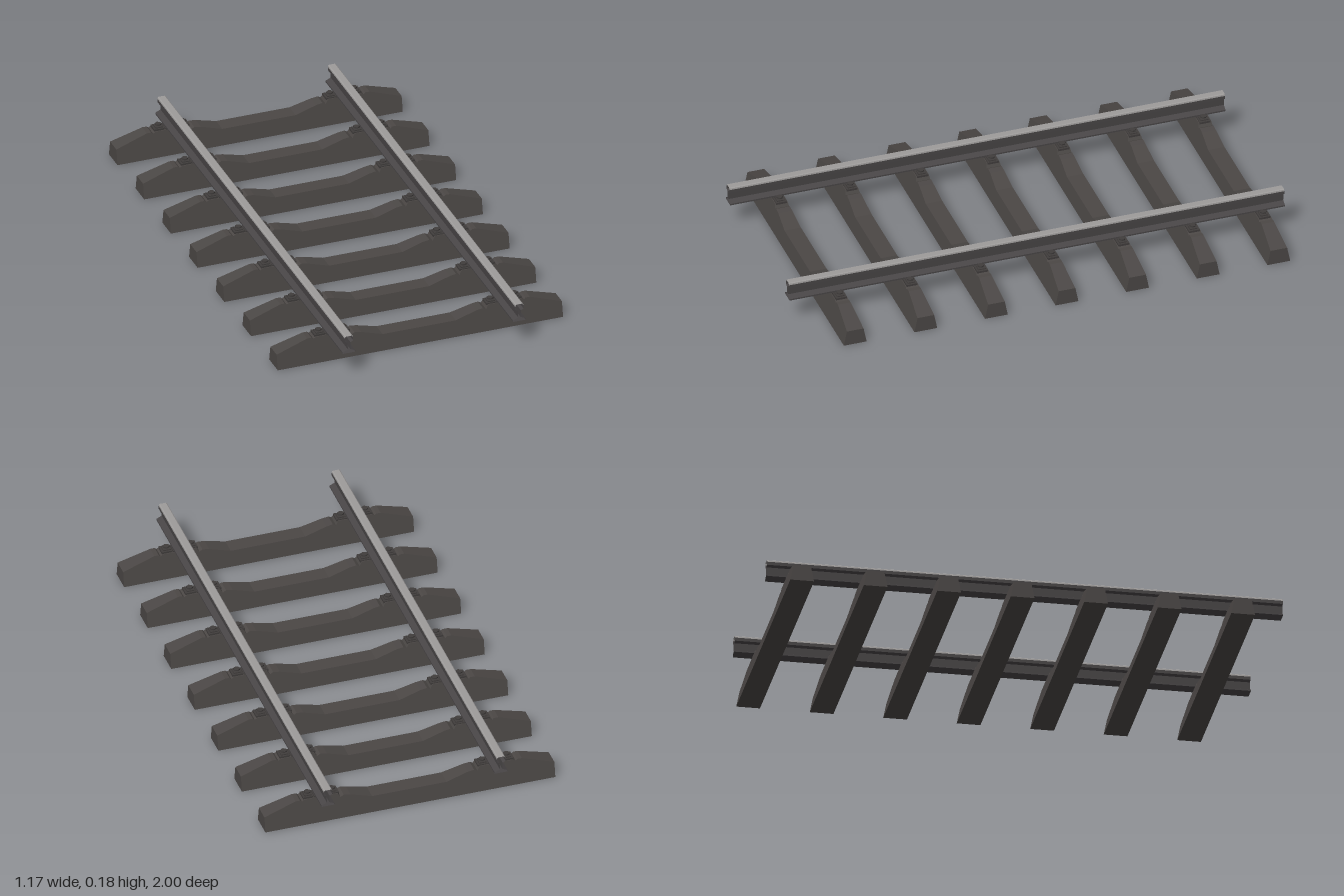
import * as THREE from 'three';

const mat = (name, color) => {
  const m = new THREE.MeshStandardMaterial({ color });
  m.name = name;
  return m;
};

// Mirrors a right-hand half profile to a full one, counter-clockwise
const mirrored = (half) => [...half, ...half.map(([x, y]) => [-x, y]).reverse()];

// Sweeps an uncapped profile along z with flat facets
function sweep(points, z0, z1) {
  const pos = [];
  for (let i = 0; i < points.length - 1; i++) {
    const [ax, ay] = points[i];
    const [bx, by] = points[i + 1];
    pos.push(ax, ay, z0, bx, by, z0, bx, by, z1);
    pos.push(ax, ay, z0, bx, by, z1, ax, ay, z1);
  }
  const g = new THREE.BufferGeometry();
  g.setAttribute('position', new THREE.Float32BufferAttribute(pos, 3));
  g.computeVertexNormals();
  return g;
}

// Concrete sleeper: long profile whose thickness tapers towards the top
function sleeperGeometry() {
  const half = [
    [0.583, 0], [0.583, 0.062], [0.455, 0.103], [0.437, 0.103], [0.43, 0.097],
    [0.42, 0.103], [0.285, 0.103], [0.275, 0.086], [0.262, 0.093], [0.235, 0.089], [0.15, 0.065],
  ];
  const shape = new THREE.Shape(mirrored(half).map(([x, y]) => new THREE.Vector2(x, y)));
  const g = new THREE.ExtrudeGeometry(shape, { depth: 1, bevelEnabled: false });
  const p = g.attributes.position;
  for (let i = 0; i < p.count; i++) {
    const w = 0.046 - 0.2 * p.getY(i);
    p.setZ(i, p.getZ(i) > 0.5 ? w : -w);
  }
  g.computeVertexNormals();
  return g;
}

export function createModel() {
  const concrete = mat('sleeper concrete', 0x4b4745);
  const steel = mat('dark rail steel', 0x484546);
  const polished = mat('polished rail head', 0x9d9b9a);
  const iron = mat('fastening iron', 0x403d3c);
  steel.side = polished.side = THREE.DoubleSide;

  const track = new THREE.Group();
  track.name = 'railwayTrack';
  const railX = 0.348;

  const add = (parent, name, geometry, material, x = 0, y = 0, z = 0) => {
    const m = new THREE.Mesh(geometry, material);
    m.name = name;
    m.position.set(x, y, z);
    parent.add(m);
    return m;
  };

  // Rails: dark foot, web and head sides, with a bright running surface
  const body = mirrored([[0.017, 0.171], [0.017, 0.158], [0.006, 0.152], [0.005, 0.123],
    [0.026, 0.113], [0.026, 0.107]]).reverse();
  const bodyGeo = sweep(body, -1, 1);
  const crownGeo = sweep(mirrored([[0.017, 0.171], [0.016, 0.177], [0.012, 0.18]]), -1, 1);
  for (const side of [-1, 1]) {
    const rail = new THREE.Group();
    rail.name = side > 0 ? 'leftRail' : 'rightRail';
    rail.position.x = side * railX;
    add(rail, 'railBody', bodyGeo, steel);
    add(rail, 'railCrown', crownGeo, polished);
    track.add(rail);
  }

  // Fastening parts shared by every sleeper
  const pad = new THREE.BoxGeometry(0.06, 0.005, 0.046);
  const plate = new THREE.BoxGeometry(0.042, 0.008, 0.044);
  const clip = new THREE.BoxGeometry(0.03, 0.004, 0.03);
  const shank = new THREE.CylinderGeometry(0.007, 0.007, 0.008, 8);
  const head = new THREE.CylinderGeometry(0.013, 0.013, 0.005, 6);

  // Sleepers, each with a pad and two bolted clamps per rail
  const sleeperGeo = sleeperGeometry();
  for (let i = 0; i < 7; i++) {
    const unit = new THREE.Group();
    unit.name = `sleeperUnit${i + 1}`;
    unit.position.z = -0.903 + i * 0.285;
    add(unit, 'sleeper', sleeperGeo, concrete);
    for (const side of [-1, 1]) {
      add(unit, 'railPad', pad, iron, side * railX, 0.1045);
      for (const [offset, drop] of [[0.052, 0], [-0.046, 0.003]]) {
        const clamp = new THREE.Group();
        clamp.name = offset > 0 ? 'outerClamp' : 'innerClamp';
        clamp.position.set(side * (railX + offset), -drop, 0);
        add(clamp, 'clampPlate', plate, iron, side * Math.sign(offset) * 0.002, 0.106);
        add(clamp, 'clampClip', clip, iron, 0, 0.112);
        add(clamp, 'boltShank', shank, iron, 0, 0.116);
        add(clamp, 'boltHead', head, iron, 0, 0.1205);
        unit.add(clamp);
      }
    }
    track.add(unit);
  }
  return track;
}
